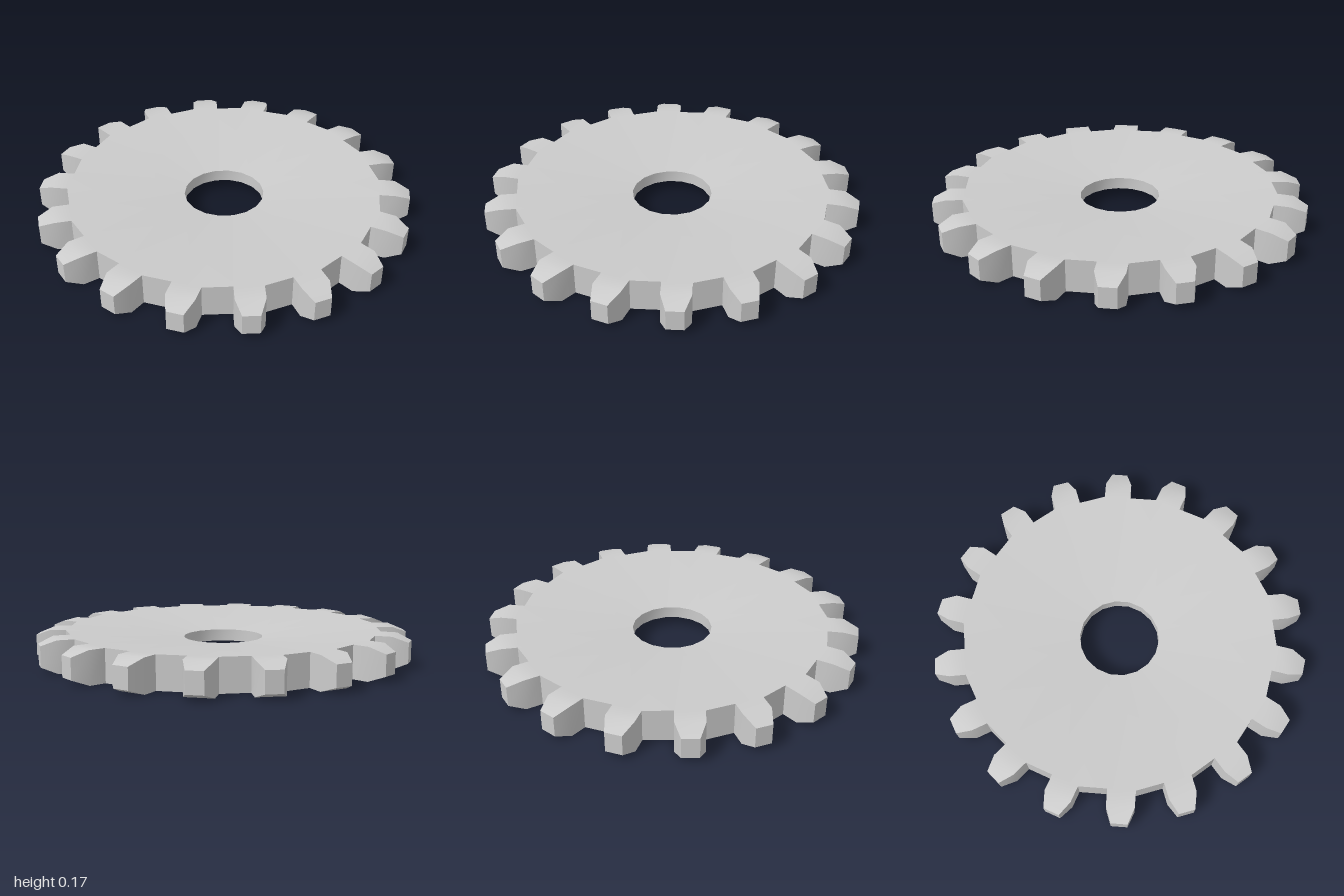
import * as THREE from 'three';
import { toCreasedNormals } from 'three/addons/utils/BufferGeometryUtils.js';

const TEETH = 18, STEP = 360 / TEETH, H = 0.17, HOLE = 0.214;
const CHAMFER = 0.031, DISH = 0.053;

// Point x, z turned clockwise (seen from above), with the inset of top and bottom
const point = (deg, x, z, inset = 0) => {
  const a = THREE.MathUtils.degToRad(deg), c = Math.cos(a), s = Math.sin(a);
  return { x: x * c - z * s, z: x * s + z * c, inset };
};

function gearGeometry() {
  const pos = [];
  const top = (p) => [p.x, H - p.inset, p.z];
  const low = (p) => [p.x, p.inset, p.z];
  const tri = (a, b, c) => pos.push(...a, ...b, ...c);

  // Clockwise polygon, drawn as a fan on the top and mirrored on the bottom
  const faces = (...p) => {
    for (let i = 1; i < p.length - 1; i++) {
      tri(top(p[0]), top(p[i + 1]), top(p[i]));
      tri(low(p[0]), low(p[i]), low(p[i + 1]));
    }
  };
  // Upright wall facing to the left of p -> q
  const wall = (p, q) => {
    tri(low(q), low(p), top(p));
    tri(low(q), top(p), top(q));
  };

  for (let i = 0; i < TEETH; i++) {
    const t = i * STEP;
    const base = point(t, -0.145, -0.829);
    const shoulderA = point(t, -0.145, -0.915);
    const tipA = point(t, -0.115, -0.995, CHAMFER);
    const tipB = point(t, -0.029, -0.995, CHAMFER);
    const shoulderB = point(t, 0, -0.915);
    const root = point(t, 0, -0.829);
    const nextBase = point(t + STEP, -0.145, -0.829);
    const holeA = point(t - STEP / 2, 0, -HOLE, DISH);
    const holeB = point(t + STEP / 2, 0, -HOLE, DISH);

    // Dished disc sector, straight tooth stem and chamfered tooth end
    faces(root, nextBase, holeB, holeA, base);
    faces(base, shoulderA, shoulderB, root);
    faces(shoulderA, tipA, tipB, shoulderB);

    // Outer walls around the tooth and gap, then the bore
    const rim = [base, shoulderA, tipA, tipB, shoulderB, root, nextBase];
    for (let k = 0; k < rim.length - 1; k++) wall(rim[k], rim[k + 1]);
    wall(holeB, holeA);
  }

  const g = new THREE.BufferGeometry();
  g.setAttribute('position', new THREE.Float32BufferAttribute(pos, 3));
  return toCreasedNormals(g, THREE.MathUtils.degToRad(30));
}

export function createModel() {
  const group = new THREE.Group();
  group.name = 'gear';
  const wheel = new THREE.Mesh(gearGeometry(), new THREE.MeshStandardMaterial({ color: 0xcccccc }));
  wheel.name = 'gearWheel';
  group.add(wheel);
  return group;
}
